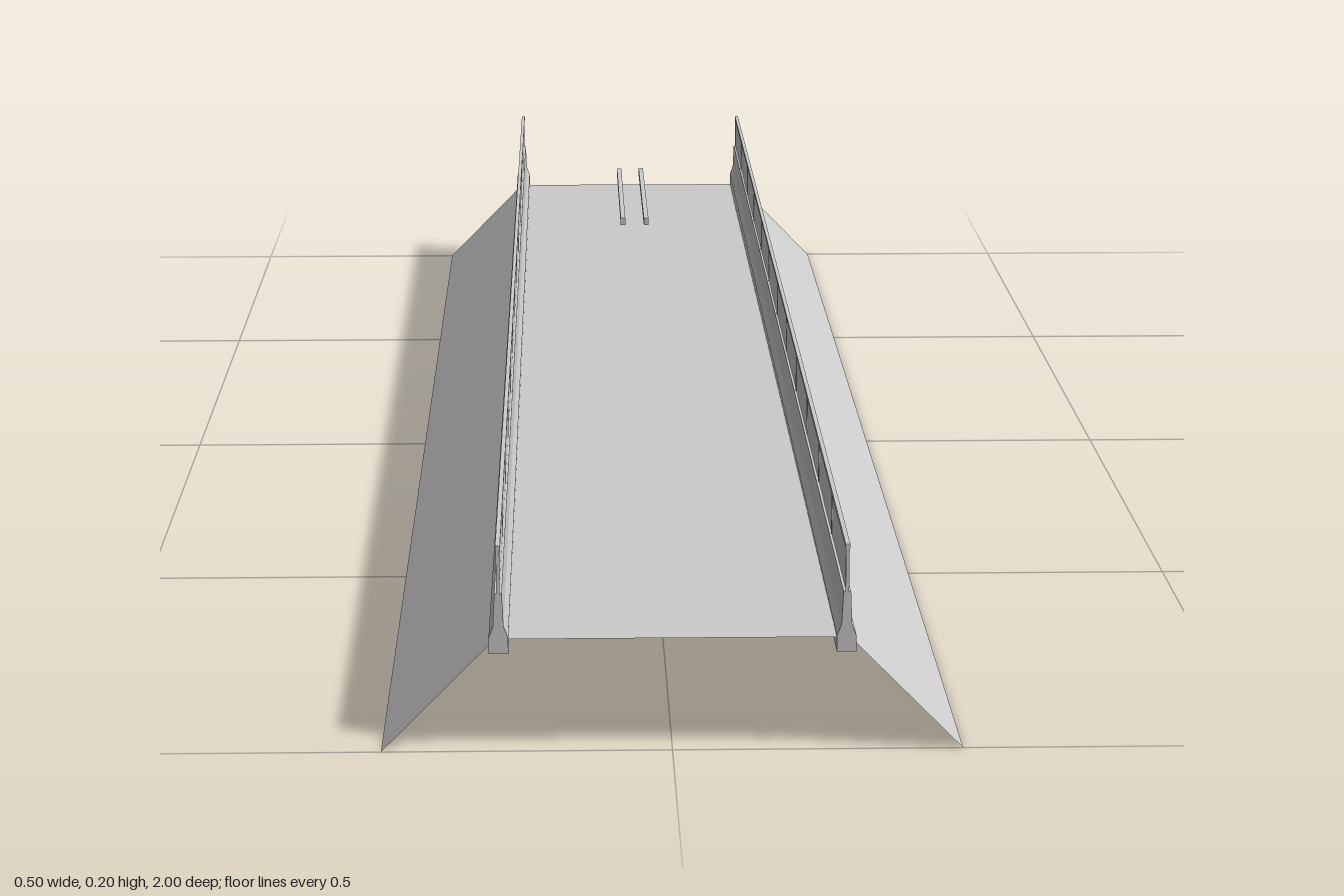
import * as THREE from 'three';

const material = new THREE.MeshStandardMaterial({ color: 0xcccccc, flatShading: true });
const sheet = new THREE.MeshStandardMaterial({ color: 0xcccccc, flatShading: true, side: THREE.DoubleSide });

const RISE = 0.014; // barriers climb gently from front to back

function climb(geometry) {
  const p = geometry.attributes.position;
  for (let i = 0; i < p.count; i++) p.setY(i, p.getY(i) + RISE * (1 - p.getZ(i)) / 2);
  geometry.computeVertexNormals();
  return geometry;
}

function add(parent, name, geometry, mat = material) {
  const mesh = new THREE.Mesh(geometry, mat);
  mesh.name = name;
  parent.add(mesh);
  return mesh;
}

// Box given by its extents, sheared along the climb
function bar(x, width, y0, y1, z0, z1) {
  const g = new THREE.BoxGeometry(width, y1 - y0, z1 - z0);
  return climb(g.translate(x, (y0 + y1) / 2, (z0 + z1) / 2));
}

// Flat strip running the full length between two cross-section points
function strip(x0, y0, x1, y1) {
  const g = new THREE.BufferGeometry();
  g.setAttribute('position', new THREE.Float32BufferAttribute(
    [x0, y0, 1, x1, y1, 1, x1, y1, -1, x0, y0, -1], 3));
  g.setIndex([0, 1, 2, 0, 2, 3]);
  g.computeVertexNormals();
  return g;
}

function createBarrier(side) {
  const barrier = new THREE.Group();
  barrier.name = side > 0 ? 'leftBarrier' : 'rightBarrier';
  const x = side * 0.1472;

  // Concrete parapet with a flared foot
  const half = [[0.0083, 0.087], [0.0083, 0.101], [0.0045, 0.111], [0.0032, 0.14]];
  const outline = [...half, ...half.map(([w, y]) => [-w, y]).reverse()];
  const shape = new THREE.Shape(outline.map(([w, y]) => new THREE.Vector2(w, y)));
  const parapet = new THREE.ExtrudeGeometry(shape, { depth: 2, bevelEnabled: false });
  add(barrier, 'parapet', climb(parapet.translate(x, 0, -1)));

  // Thin screen, top rail and the posts between panels
  add(barrier, 'screen', bar(x, 0.0018, 0.139, 0.18, -1, 1));
  add(barrier, 'topRail', bar(x, 0.004, 0.178, 0.182, -1, 1));
  const panels = 12;
  for (let i = 0; i <= panels; i++) {
    const z = THREE.MathUtils.clamp(-1 + (2 * i) / panels, -0.998, 0.998);
    add(barrier, 'screenPost', bar(x, 0.003, 0.139, 0.18, z - 0.002, z + 0.002));
  }
  return barrier;
}

function createMedianRail(side) {
  const rail = new THREE.Group();
  rail.name = side > 0 ? 'leftMedianRail' : 'rightMedianRail';
  const x = side * 0.015;
  add(rail, 'beam', bar(x, 0.006, 0.1, 0.109, -1, -0.667));
  add(rail, 'beamPost', bar(x, 0.004, 0.087, 0.101, -0.838, -0.829));
  return rail;
}

export function createModel() {
  const model = new THREE.Group();
  model.name = 'roadSection';

  // Road deck and the banks falling away on both sides
  add(model, 'roadDeck', strip(-0.15, 0.1, 0.15, 0.1), sheet);
  add(model, 'leftBank', strip(0.15, 0.1, 0.248, 0), sheet);
  add(model, 'rightBank', strip(-0.248, 0, -0.15, 0.1), sheet);

  for (const side of [-1, 1]) {
    model.add(createBarrier(side));
    model.add(createMedianRail(side));
  }
  return model;
}
